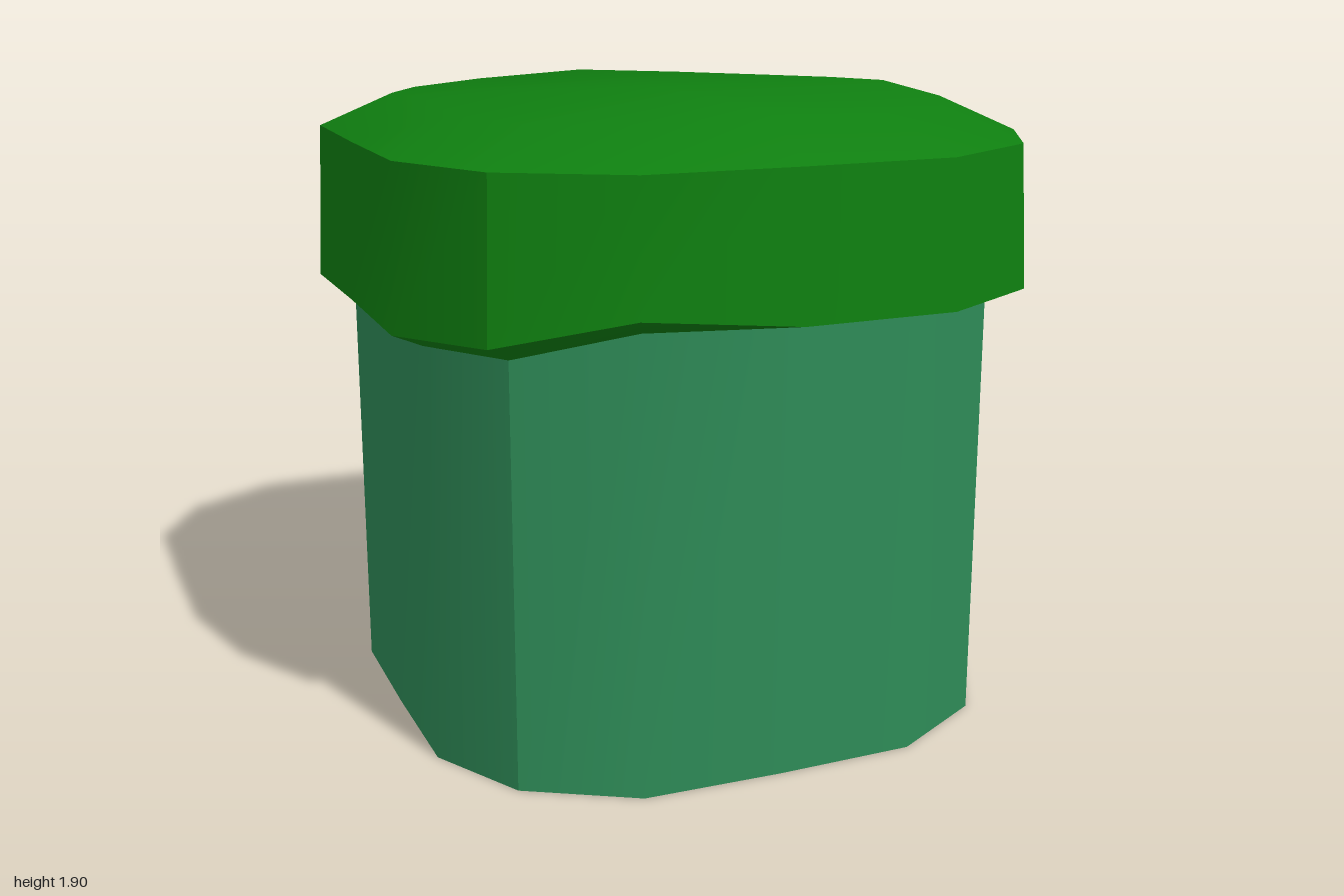
import * as THREE from 'three';
import { toCreasedNormals } from 'three/addons/utils/BufferGeometryUtils.js';

// One quadrant of the rounded-square outline, from the +z middle to the +x middle
const quarter = [[0, 1], [0.47, 0.99], [0.82, 0.79], [0.995, 0.47]];
const outline = [];
for (let q = 0; q < 4; q++) {
  for (let i = 0; i < 4; i++) {
    // odd quadrants are mirrored so corners stay symmetric in x and z
    const [x, z] = q % 2 === 0 ? quarter[i] : i === 0 ? [1, 0] : quarter[4 - i];
    const sx = q < 2 ? 1 : -1;
    const sz = q === 0 || q === 3 ? 1 : -1;
    outline.push(q % 2 === 0 && i === 0 ? [0, sz] : [sx * x, sz * z]);
  }
}

// Ring of 16 points; the height may vary by outline position
function ring(scale, height) {
  return outline.map(([x, z]) =>
    [x * scale, typeof height === 'number' ? height : height(x, z), z * scale]);
}

// Skin between rings, with optional centre points closing the ends
function loft(rings, bottom, top) {
  const pos = [];
  const tri = (...pts) => pts.forEach((p) => pos.push(...p));
  const n = outline.length;
  for (let i = 0; i < n; i++) {
    const j = (i + 1) % n;
    for (let r = 0; r < rings.length - 1; r++) {
      const lo = rings[r], hi = rings[r + 1];
      tri(lo[i], lo[j], hi[j]);
      tri(lo[i], hi[j], hi[i]);
    }
    const last = rings[rings.length - 1];
    if (bottom !== undefined) tri([0, bottom, 0], rings[0][j], rings[0][i]);
    if (top !== undefined) tri([0, top, 0], last[i], last[j]);
  }
  const geo = new THREE.BufferGeometry();
  geo.setAttribute('position', new THREE.Float32BufferAttribute(pos, 3));
  return toCreasedNormals(geo, Math.PI / 6);
}

// Height by x on the sagging (-x) side, interpolated between steps
function sag(h1, h2, h3, h4) {
  return (x) => (x > -0.1 ? 1.35 : x > -0.6 ? h1 : x > -0.9 ? h2 : x > -0.999 ? h3 : h4);
}

export function createModel() {
  const group = new THREE.Group();
  const add = (name, geo, color) => {
    const mesh = new THREE.Mesh(geo, new THREE.MeshStandardMaterial({ color }));
    mesh.name = name;
    group.add(mesh);
  };

  // Straight lower body
  add('body', loft([ring(0.9, 0), ring(0.9, 1.41)], 0, 1.41), 0x2e8b57);

  // Overhanging cap: underside, tapered wall, shallow bevel and slight dome
  const crown = (x, z) => 1.895 - 0.025 * Math.min(1, Math.abs(x * z) / 0.64);
  add('cap', loft([
    ring(0.897, sag(1.345, 1.26, 1.25, 1.25)),
    ring(1, sag(1.4, 1.315, 1.3, 1.31)),
    ring(0.98, 1.775),
    ring(0.77, crown),
  ], undefined, 1.9), 0x0f7f10);

  return group;
}
